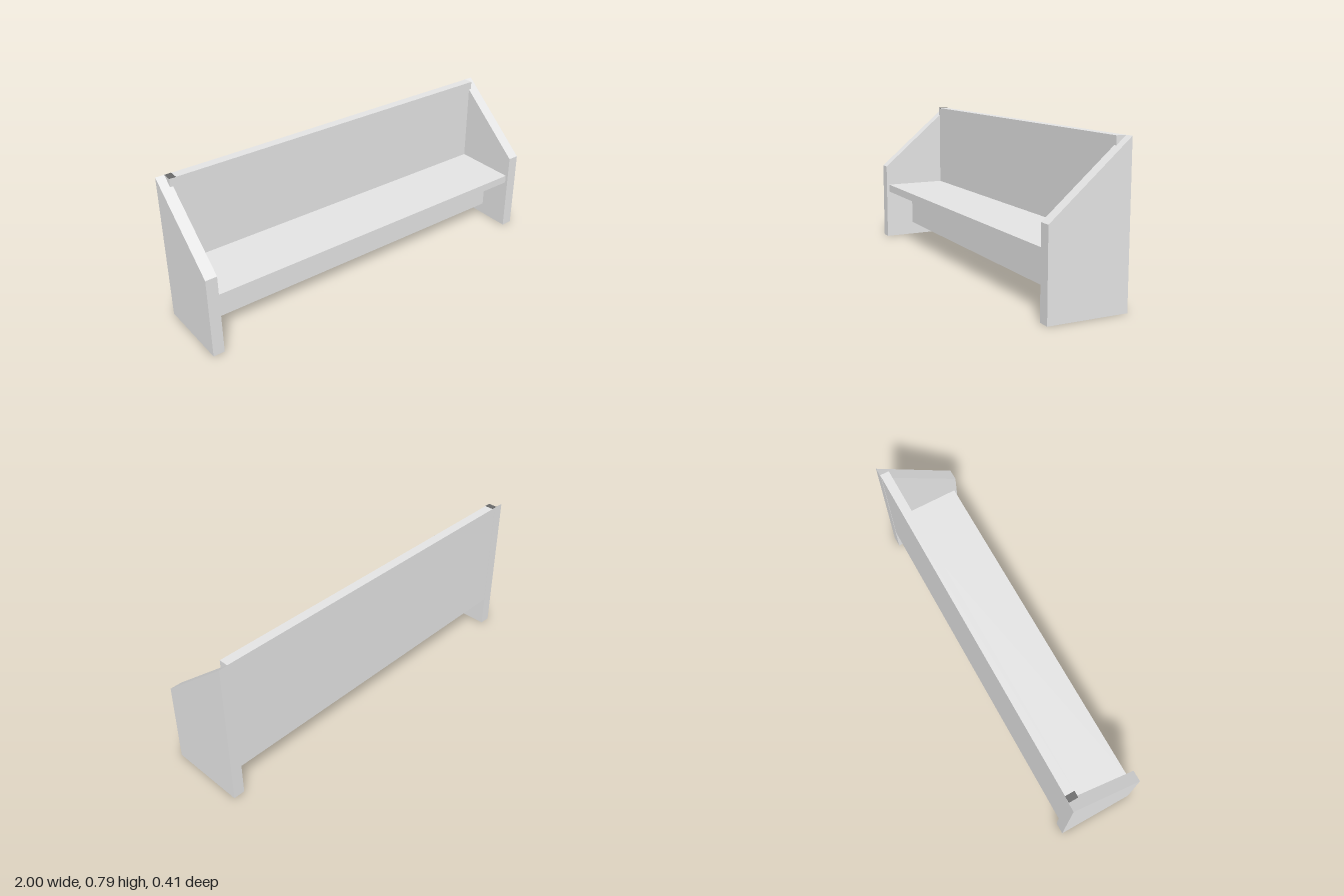
import * as THREE from 'three';

export function createModel() {
  const group = new THREE.Group();
  group.name = 'bench';
  const light = new THREE.MeshStandardMaterial({ color: 0xe5e5e5 });
  light.name = 'light grey';
  const dark = new THREE.MeshStandardMaterial({ color: 0x686868 });
  dark.name = 'dark grey';

  // Adds a light part whose undersides are dark
  const add = (name, source) => {
    const geometry = source.index ? source.toNonIndexed() : source;
    geometry.clearGroups();
    const normal = geometry.attributes.normal;
    for (let i = 0; i < normal.count; i += 3) {
      geometry.addGroup(i, 3, normal.getY(i) < -0.9 ? 1 : 0);
    }
    const mesh = new THREE.Mesh(geometry, [light, dark]);
    mesh.name = name;
    group.add(mesh);
    return mesh;
  };

  // Board given by its half width and its y and z limits
  const board = (name, halfWidth, y0, y1, z0, z1) =>
    add(name, new THREE.BoxGeometry(halfWidth * 2, y1 - y0, z1 - z0))
      .position.set(0, (y0 + y1) / 2, (z0 + z1) / 2);

  // Side panels: sloping profile drawn as (-z, y), extruded along x
  const profile = new THREE.Shape([
    [-0.205, 0], [0.205, 0], [0.205, 0.785], [-0.205, 0.437],
  ].map(([x, y]) => new THREE.Vector2(x, y)));
  for (const [name, x] of [['leftSidePanel', 0.94], ['rightSidePanel', -1]]) {
    const panel = new THREE.ExtrudeGeometry(profile, { depth: 0.06, bevelEnabled: false });
    add(name, panel.rotateY(Math.PI / 2)).position.x = x;
  }

  // Backrest is let into the sides, its top corners showing above the slope
  board('backrest', 0.955, 0.17, 0.785, -0.203, -0.154);
  board('seat', 0.94, 0.28, 0.323, -0.154, 0.19);
  // Stretcher board under the seat
  board('stretcher', 0.922, 0.078, 0.28, 0, 0.047);

  // Dark patch on the right end of the backrest's top edge
  const patch = new THREE.Mesh(new THREE.BoxGeometry(0.034, 0.002, 0.049), dark);
  patch.name = 'backrestTopPatch';
  patch.position.set(-0.938, 0.785, -0.1785);
  group.add(patch);

  return group;
}
